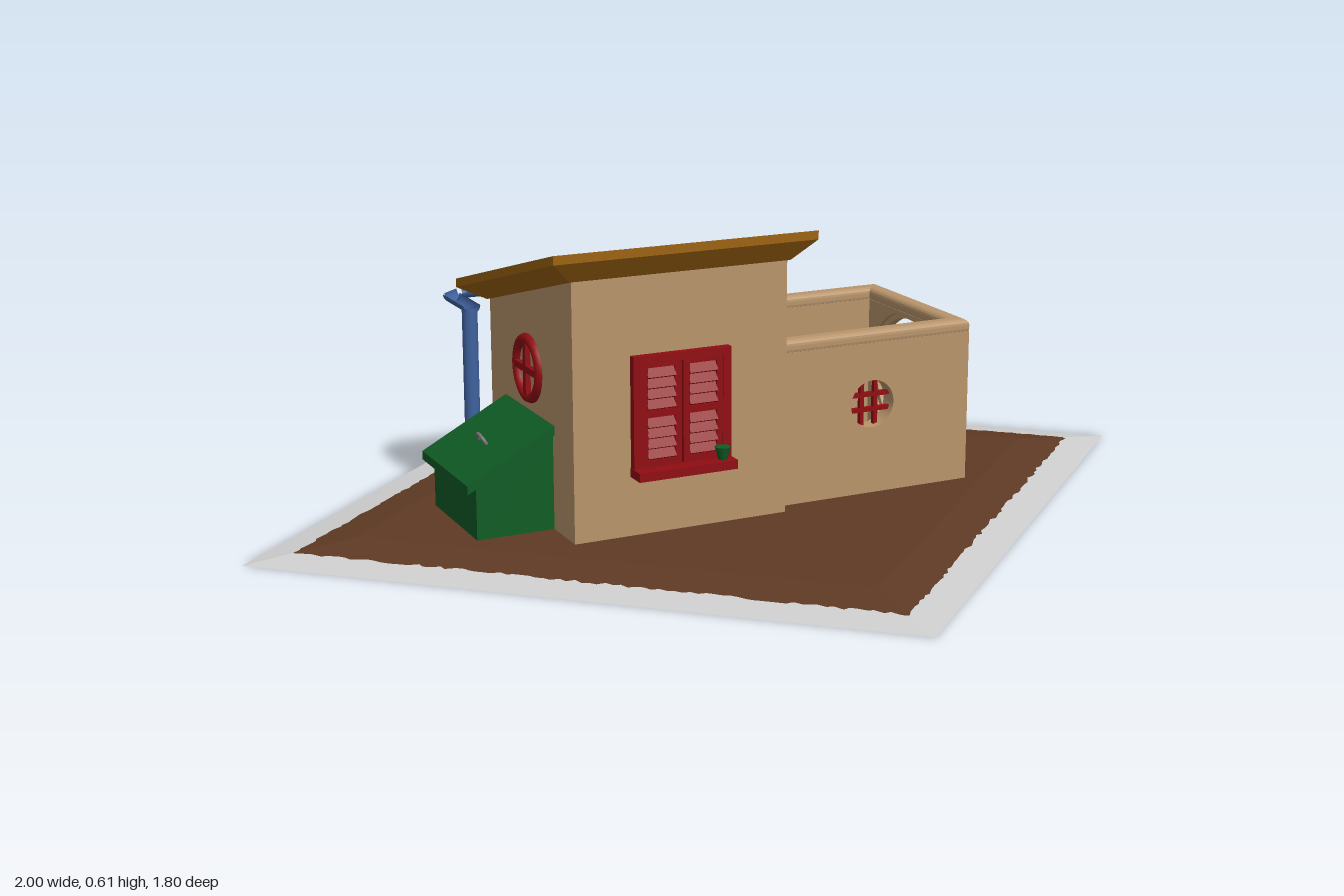
import * as THREE from 'three';

const mat = (name, color, side = THREE.FrontSide) => {
  const m = new THREE.MeshStandardMaterial({ color, side });
  m.name = name;
  return m;
};

export function createModel() {
  const M = {
    plaster: mat('plaster', 0xb8946b),
    roof: mat('ochre roof', 0x9c6210),
    soil: mat('brown soil', 0x5f3a24, THREE.DoubleSide),
    kerb: mat('pale grey edge', 0xcfcfcf, THREE.DoubleSide),
    red: mat('red paint', 0x900d12),
    green: mat('green paint', 0x0f5c24),
    blue: mat('blue paint', 0x40629e, THREE.DoubleSide),
    metal: mat('grey metal', 0x727272, THREE.DoubleSide),
  };
  const root = new THREE.Group();
  const add = (name, geo, m, x = 0, y = 0, z = 0, parent = root) => {
    const mesh = new THREE.Mesh(geo, m);
    mesh.name = name;
    mesh.position.set(x, y, z);
    parent.add(mesh);
    return mesh;
  };
  const box = (name, m, w, h, d, x, y, z, parent) => add(name, new THREE.BoxGeometry(w, h, d), m, x, y, z, parent);
  const poly = pts => new THREE.Shape(pts.map(p => new THREE.Vector2(...p)));
  const extrude = (shape, depth) => new THREE.ExtrudeGeometry(shape, { depth, bevelEnabled: false, curveSegments: 32 });
  // shape drawn in (z, y), extruded towards -x
  const extrudeX = (shape, depth) => extrude(shape, depth).rotateY(-Math.PI / 2);

  // Ground: shallow diamond mound with a ragged soil edge
  const N = 320;
  let seed = 7;
  const rnd = () => (seed = (seed * 16807) % 2147483647) / 2147483647;
  const ragged = Array.from({ length: N }, () => 0.897 + (rnd() - 0.5) * 0.014);
  const ringPoint = (i, s) => {
    const t = (i % N) / N * 4, k = Math.floor(t), f = t - k;
    const c = [[1, 0], [0, 0.9], [-1, 0], [0, -0.9]];
    const a = c[k], b = c[(k + 1) % 4];
    const y = 0.024 * Math.min(1, (1 - s) / 0.23);
    return [s * (a[0] + (b[0] - a[0]) * f), y, s * (a[1] + (b[1] - a[1]) * f)];
  };
  const band = (outer, inner) => {
    const p = [];
    for (let i = 0; i < N; i++) {
      const j = (i + 1) % N;
      const a = ringPoint(i, outer(i)), b = ringPoint(j, outer(j)), c = ringPoint(j, inner(j)), d = ringPoint(i, inner(i));
      p.push(...a, ...c, ...b, ...a, ...d, ...c);
    }
    const g = new THREE.BufferGeometry();
    g.setAttribute('position', new THREE.Float32BufferAttribute(p, 3));
    g.computeVertexNormals();
    return g;
  };
  add('groundEdge', band(() => 1, i => ragged[i]), M.kerb);
  add('groundSlope', band(i => ragged[i], () => 0.77), M.soil);
  add('groundTop', band(() => 0.77, () => 0), M.soil);

  // House block with a slanted top
  add('houseWalls', extrudeX(poly([[-0.21, 0.02], [0.23, 0.02], [0.23, 0.555], [-0.21, 0.432]]), 0.46), M.plaster, 0.055);

  // Roof slab: full rim, then an underside tapering in to the walls
  const roofY = z => 0.606 + (z - 0.266) * 0.277;
  const rect = (x0, x1, z0, z1, drop) =>
    [[x0, z1], [x1, z1], [x1, z0], [x0, z0]].map(([x, z]) => [x, roofY(z) - drop, z]);
  const levels = [rect(-0.455, 0.105, -0.275, 0.266, 0), rect(-0.455, 0.105, -0.275, 0.266, 0.018), rect(-0.41, 0.06, -0.215, 0.235, 0.052)];
  const rp = [];
  const quad = (a, b, c, d) => rp.push(...a, ...b, ...c, ...a, ...c, ...d);
  quad(...levels[0]);
  quad(...[...levels[2]].reverse());
  for (let l = 0; l < 2; l++) for (let i = 0; i < 4; i++) {
    const j = (i + 1) % 4;
    quad(levels[l + 1][i], levels[l + 1][j], levels[l][j], levels[l][i]);
  }
  const roofGeo = new THREE.BufferGeometry();
  roofGeo.setAttribute('position', new THREE.Float32BufferAttribute(rp, 3));
  roofGeo.computeVertexNormals();
  add('roof', roofGeo, M.roof);

  // Courtyard side walls with round barred openings
  const sideShape = poly([[0.05, 0.02], [0.505, 0.02], [0.505, 0.345], [0.05, 0.345]]);
  sideShape.holes.push(new THREE.Path().absarc(0.275, 0.215, 0.05, 0, Math.PI * 2, true));
  for (const s of [1, -1]) {
    add('courtyardSideWall', extrude(sideShape, 0.04), M.plaster, 0, 0, s > 0 ? 0.155 : -0.195);
    for (const o of [-0.016, 0.016]) {
      box('windowBar', M.red, 0.009, 0.098, 0.01, 0.275 + o, 0.215, s * 0.175);
      box('windowBar', M.red, 0.098, 0.009, 0.01, 0.275, 0.215 + o, s * 0.175);
    }
  }
  // Courtyard end wall: round gate with a stepped rim
  const gateShape = (r, w) => {
    const a = Math.asin(w / r), pts = [[0.155, 0.02], [0.155, 0.345], [-0.155, 0.345], [-0.155, 0.02], [-w, 0.02]];
    for (let i = 0; i <= 48; i++) {
      const t = -Math.PI + a + (i / 48) * (2 * Math.PI - 2 * a);
      pts.push([Math.sin(t) * r, 0.195 + Math.cos(t) * r]);
    }
    pts.push([w, 0.02]);
    return poly(pts.reverse());
  };
  add('gateWallOuter', extrudeX(gateShape(0.147, 0.106), 0.01), M.plaster, 0.505);
  add('gateWallCore', extrudeX(gateShape(0.135, 0.1), 0.018), M.plaster, 0.495);
  add('gateWallInner', extrudeX(gateShape(0.147, 0.106), 0.01), M.plaster, 0.477);

  // Rounded coping around the courtyard
  const coping = poly([[0.05, -0.195], [0.505, -0.195], [0.505, 0.195], [0.05, 0.195], [0.05, 0.155], [0.467, 0.155], [0.467, -0.155], [0.05, -0.155]]);
  const copingGeo = new THREE.ExtrudeGeometry(coping, { depth: 0.008, bevelEnabled: true, bevelThickness: 0.012, bevelSize: 0.012, bevelOffset: -0.012, bevelSegments: 4 });
  add('courtyardCoping', copingGeo.rotateX(-Math.PI / 2), M.plaster, 0, 0.35, 0);

  // Long planter boxes inside the courtyard
  for (const s of [1, -1]) {
    box('planter', M.blue, 0.33, 0.05, 0.045, 0.265, 0.047, s * 0.105);
    box('planterSoil', M.soil, 0.322, 0.004, 0.037, 0.265, 0.073, s * 0.105);
  }

  // Front door into the courtyard
  box('door', M.red, 0.014, 0.285, 0.18, 0.06, 0.167, 0.004);
  box('doorHandlePlate', M.metal, 0.006, 0.05, 0.022, 0.069, 0.18, -0.052);
  box('doorHandle', M.metal, 0.012, 0.008, 0.03, 0.078, 0.185, -0.045);

  // Shuttered windows, front and back
  const shutterWindow = () => {
    const g = new THREE.Group();
    g.name = 'shutterWindow';
    box('windowBack', M.red, 0.2, 0.22, 0.006, 0, 0, 0.003, g);
    for (const s of [1, -1]) {
      box('frameSide', M.red, 0.018, 0.236, 0.016, s * 0.096, 0, 0.008, g);
      box('shutterStile', M.red, 0.014, 0.21, 0.014, s * 0.009, 0, 0.007, g);
      box('shutterStile', M.red, 0.014, 0.21, 0.014, s * 0.081, 0, 0.007, g);
      for (const y of [-0.1, 0, 0.1]) box('shutterRail', M.red, 0.085, 0.014, 0.014, s * 0.045, y, 0.007, g);
      for (const base of [-0.05, 0.05]) for (let i = -1.5; i <= 1.5; i++)
        box('slat', M.red, 0.06, 0.02, 0.005, s * 0.045, base + i * 0.021, 0.011, g).rotation.x = -0.6;
    }
    box('frameTop', M.red, 0.21, 0.016, 0.016, 0, 0.11, 0.008, g);
    box('sill', M.red, 0.212, 0.018, 0.046, 0, -0.116, 0.021, g);
    return g;
  };
  const front = shutterWindow();
  front.position.set(-0.18, 0.27, 0.23);
  const back = shutterWindow();
  back.position.set(-0.17, 0.27, -0.21);
  back.rotation.y = Math.PI;
  root.add(front, back);
  add('sillPot', new THREE.CylinderGeometry(0.016, 0.009, 0.026, 12), M.green, -0.1, 0.177, 0.258);

  // Round window in the right-hand wall
  add('roundWindowFrame', new THREE.TorusGeometry(0.06, 0.011, 8, 32).rotateY(Math.PI / 2), M.red, -0.407, 0.325, 0.005);
  box('roundWindowBar', M.red, 0.014, 0.12, 0.014, -0.409, 0.325, 0.005);
  box('roundWindowBar', M.red, 0.014, 0.014, 0.12, -0.409, 0.325, 0.005);

  // Lean-to bin with sloping lid
  add('binBody', extrude(poly([[-0.567, 0.015], [-0.4, 0.015], [-0.4, 0.222], [-0.567, 0.13]]), 0.245), M.green, 0, 0, -0.12);
  add('binLid', extrude(poly([[-0.588, 0.122], [-0.405, 0.22], [-0.405, 0.238], [-0.588, 0.14]]), 0.265), M.green, 0, 0, -0.13);
  add('binHandle', new THREE.TorusGeometry(0.02, 0.004, 6, 16, Math.PI).rotateY(Math.PI / 2), M.metal, -0.505, 0.183, 0.002).rotation.z = 0.49;

  // Half-round gutter and downpipe
  const trough = (a, b) => {
    const A = new THREE.Vector3(...a), d = new THREE.Vector3(...b).sub(A), len = d.length();
    const g = new THREE.CylinderGeometry(0.018, 0.018, len, 16, 1, true, -Math.PI / 2, Math.PI);
    g.rotateX(Math.PI / 2).rotateY(Math.atan2(d.x, d.z));
    const mid = A.addScaledVector(d, 0.5);
    add('gutter', g, M.blue, mid.x, mid.y, mid.z);
  };
  trough([0.11, 0.427, -0.295], [-0.43, 0.427, -0.295]);
  trough([-0.43, 0.427, -0.297], [-0.468, 0.427, -0.265]);
  trough([-0.468, 0.427, -0.27], [-0.468, 0.427, -0.145]);
  const pipe = (pts, name) => {
    const path = new THREE.CurvePath();
    for (let i = 1; i < pts.length; i++)
      path.add(new THREE.LineCurve3(new THREE.Vector3(...pts[i - 1]), new THREE.Vector3(...pts[i])));
    add(name, new THREE.TubeGeometry(path, 24, 0.016, 14), M.blue);
  };
  pipe([[-0.468, 0.42, -0.16], [-0.468, 0.1, -0.16], [-0.525, 0.04, -0.16]], 'downpipe');

  // Bucket behind the house
  const bucket = [[0, 0.008], [0.027, 0.008], [0.036, 0.072], [0.039, 0.072], [0.039, 0.064], [0.035, 0.064], [0.028, 0], [0, 0]];
  add('bucket', new THREE.LatheGeometry(bucket.reverse().map(p => new THREE.Vector2(...p)), 20), M.metal, -0.37, 0.026, -0.275);

  return root;
}
